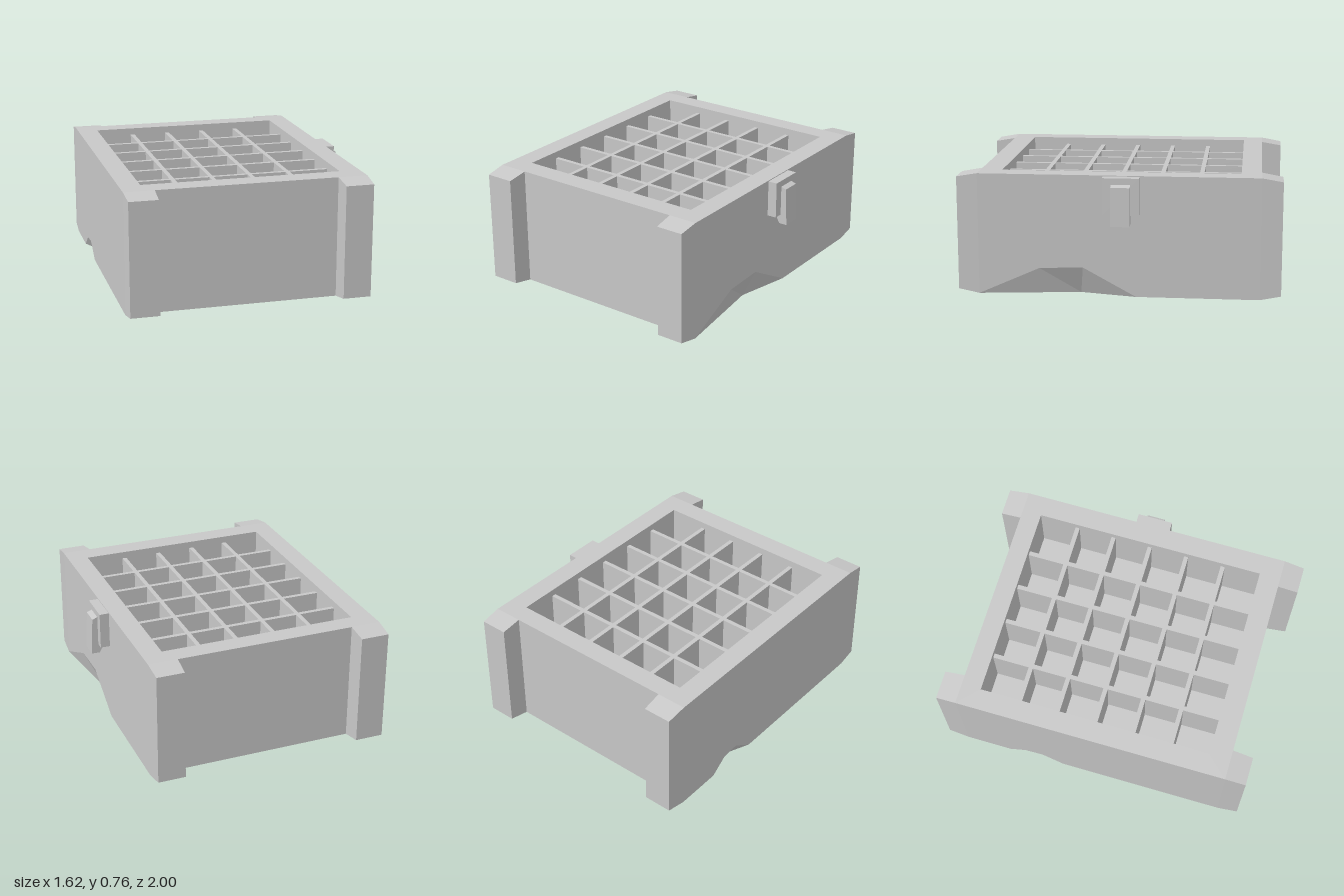
import * as THREE from 'three';

const grey = new THREE.MeshStandardMaterial({ color: 0xc8c8c8 });
grey.name = 'plain grey';
grey.flatShading = true;

const V = (x, y, z) => new THREE.Vector3(x, y, z);

// Overall sizes
const X0 = -0.81, X1 = 0.70, Z = 0.87, H = 0.76;
const FLOOR = 0.4, DIVIDER_TOP = 0.715;

// Flat polygons (corners counter-clockwise seen from outside) joined in one mesh
function faceMesh(name, polygons) {
  const pos = [];
  for (const pts of polygons) {
    const n = V(0, 0, 0);
    pts.forEach((p, i) => n.add(p.clone().cross(pts[(i + 1) % pts.length])));
    n.normalize();
    const u = pts[1].clone().sub(pts[0]).normalize();
    const v = n.clone().cross(u);
    const flat = pts.map(p => new THREE.Vector2(p.dot(u), p.dot(v)));
    for (const tri of THREE.ShapeUtils.triangulateShape(flat, [])) {
      for (const k of tri) pos.push(pts[k].x, pts[k].y, pts[k].z);
    }
  }
  const geo = new THREE.BufferGeometry();
  geo.setAttribute('position', new THREE.Float32BufferAttribute(pos, 3));
  geo.computeVertexNormals();
  const mesh = new THREE.Mesh(geo, grey);
  mesh.name = name;
  return mesh;
}

function box(name, x0, x1, y0, y1, z0, z1) {
  const mesh = new THREE.Mesh(new THREE.BoxGeometry(x1 - x0, y1 - y0, z1 - z0), grey);
  mesh.position.set((x0 + x1) / 2, (y0 + y1) / 2, (z0 + z1) / 2);
  mesh.name = name;
  return mesh;
}

// Crate shell with a chipped notch in the lower edge of each long side
function crateBody() {
  const chipL = [[0.87, 0], [0.49, 0.17], [0.22, 0.18], [-0.11, 0]].map(([z, y]) => V(X1, y, z));
  const chipR = [[-0.57, 0], [-0.46, 0.08], [-0.34, 0.09], [-0.2, 0]].map(([z, y]) => V(X0, y, z));
  const deepL = V(0.62, 0, 0.24), deepR = V(-0.73, 0, -0.39);
  const polys = [
    // long sides
    [...chipL, V(X1, 0, -Z), V(X1, H, -Z), V(X1, H, Z)],
    [V(X0, 0, -Z), ...chipR, V(X0, 0, Z), V(X0, H, Z), V(X0, H, -Z)],
    // front and back
    [V(X0, 0, Z), V(X1, 0, Z), V(X1, H, Z), V(X0, H, Z)],
    [V(X1, 0, -Z), V(X0, 0, -Z), V(X0, H, -Z), V(X1, H, -Z)],
    // underside
    [V(X0, 0, -Z), V(X1, 0, -Z), chipL[3], deepL, chipL[0], V(X0, 0, Z), chipR[3], deepR, chipR[0]],
  ];
  // chip facets
  for (const [chip, deep] of [[chipL, deepL], [chipR, deepR]]) {
    for (let i = 0; i < 3; i++) polys.push([chip[i], deep, chip[i + 1]]);
  }
  // rim, recess walls and recess floor
  const ring = (x0, x1, z0, z1, y) => [V(x0, y, z1), V(x1, y, z1), V(x1, y, z0), V(x0, y, z0)];
  const outer = ring(X0, X1, -Z, Z, H);
  const inner = ring(-0.68, 0.57, -0.745, 0.735, H);
  const floor = ring(-0.68, 0.57, -0.745, 0.735, FLOOR);
  for (let i = 0; i < 4; i++) {
    const j = (i + 1) % 4;
    polys.push([outer[i], outer[j], inner[j], inner[i]]);
    polys.push([inner[i], inner[j], floor[j], floor[i]]);
  }
  polys.push(floor);
  return faceMesh('crateBody', polys);
}

// Corner post: a shallow block that tapers away from the crate
function cornerPost(name, x0, x1) {
  const base = [V(x0, 0, Z), V(x1, 0, Z), V(x1, H, Z), V(x0, H, Z)];
  const cap = [V(x0 + 0.005, 0.025, 1), V(x1 - 0.005, 0.025, 1), V(x1 - 0.005, 0.737, 1), V(x0 + 0.005, 0.737, 1)];
  const polys = [cap];
  for (let i = 0; i < 4; i++) {
    const j = (i + 1) % 4;
    polys.push([base[i], base[j], cap[j], cap[i]]);
  }
  return faceMesh(name, polys);
}

export function createModel() {
  const model = new THREE.Group();
  model.name = 'dividedCrate';
  model.add(crateBody());

  // Corner posts, front and back
  for (const [side, a, b] of [['Right', X0, -0.62], ['Left', 0.515, X1]]) {
    model.add(cornerPost('frontPost' + side, a, b));
    const back = cornerPost('backPost' + side, -b, -a);
    back.rotation.y = Math.PI;
    model.add(back);
  }

  // Divider grid: 5 by 6 cells
  const dividers = new THREE.Group();
  dividers.name = 'dividers';
  for (let i = 0; i < 4; i++) {
    const x = -0.43 + i * 0.246;
    dividers.add(box('lengthDivider', x - 0.014, x + 0.014, FLOOR, DIVIDER_TOP, -0.745, 0.735));
  }
  for (let i = 0; i < 5; i++) {
    const z = -0.495 + i * 0.2465;
    dividers.add(box('crossDivider', -0.68, 0.57, FLOOR, DIVIDER_TOP, z - 0.014, z + 0.014));
  }
  model.add(dividers);

  // Side latch: plate with a hook hanging over it
  const latch = new THREE.Group();
  latch.name = 'latch';
  latch.add(box('latchPlate', 0.69, 0.76, 0.525, 0.755, -0.132, 0.094));
  const profile = [[0.72, 0.525], [0.752, 0.465], [0.805, 0.465], [0.793, 0.703], [0.755, 0.717], [0.755, 0.525]];
  const shape = new THREE.Shape(profile.map(([x, y]) => new THREE.Vector2(x, y)));
  const hook = new THREE.Mesh(new THREE.ExtrudeGeometry(shape, { depth: 0.117, bevelEnabled: false }), grey);
  hook.position.z = -0.079;
  hook.name = 'latchHook';
  latch.add(hook);
  model.add(latch);

  return model;
}
